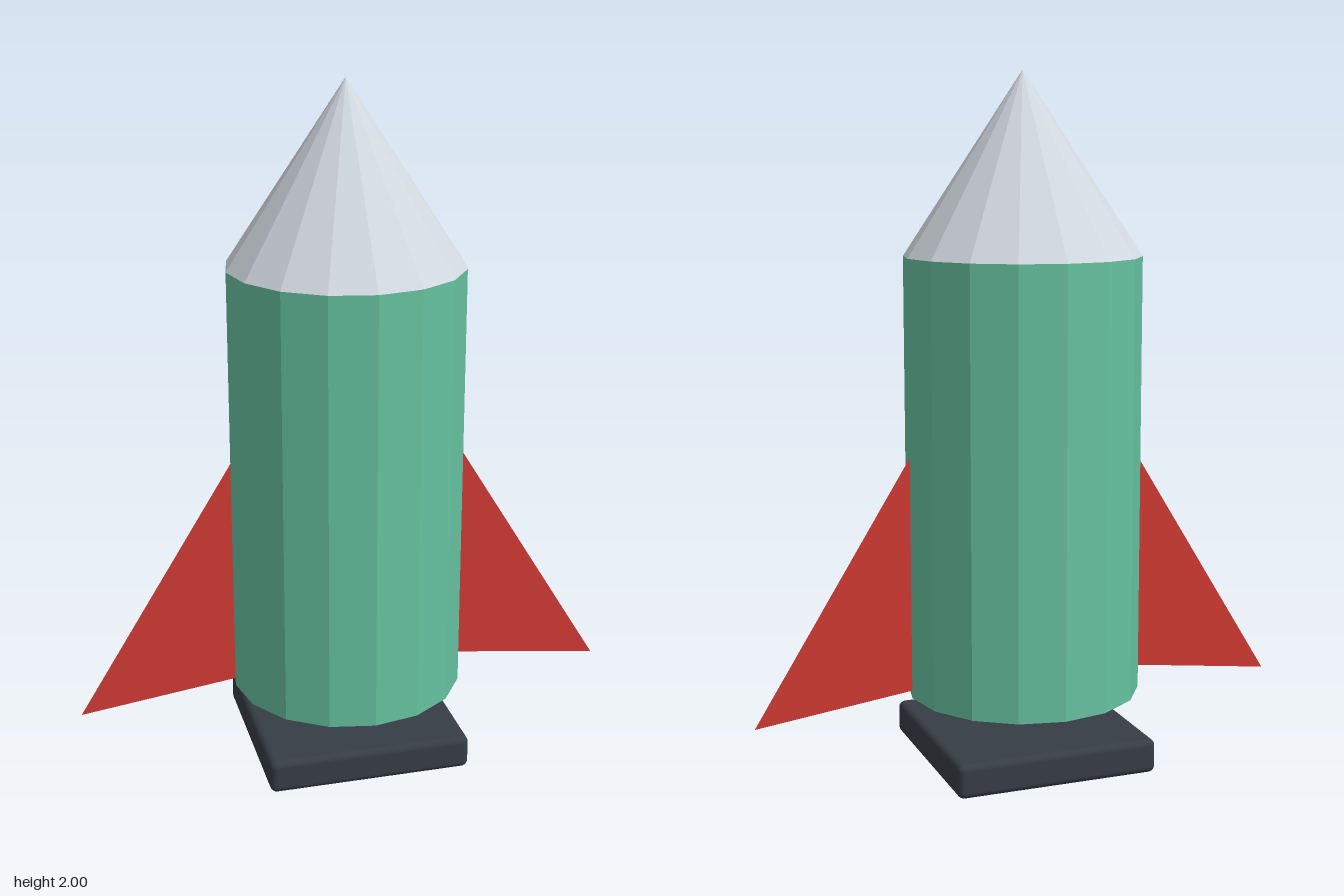
import * as THREE from 'three';
import { RoundedBoxGeometry } from 'three/addons/geometries/RoundedBoxGeometry.js';

const SIDES = 16;
const RADIUS = 0.342;
const BODY_BOTTOM = 0.207;
const BODY_TOP = 1.48;
const TIP = 2;

function material(name, color, options = {}) {
  const m = new THREE.MeshStandardMaterial({ color, ...options });
  m.name = name;
  return m;
}

export function createModel() {
  const green = material('bodyGreen', 0x66c2a0, { flatShading: true });
  const silver = material('noseSilver', 0xd3dae1, { flatShading: true });
  const red = material('finRed', 0xd03a33, { side: THREE.DoubleSide });
  const dark = material('baseCharcoal', 0x363d45);

  const rocket = new THREE.Group();
  rocket.name = 'rocket';
  const add = (name, geometry, mat, y = 0) => {
    const mesh = new THREE.Mesh(geometry, mat);
    mesh.name = name;
    mesh.position.y = y;
    rocket.add(mesh);
  };

  // Faceted hull, closed at the bottom
  add('body', new THREE.CylinderGeometry(RADIUS, RADIUS, BODY_TOP - BODY_BOTTOM, SIDES),
    green, (BODY_TOP + BODY_BOTTOM) / 2);

  // Pointed nose cone meeting the hull facet for facet
  add('noseCone', new THREE.ConeGeometry(RADIUS, TIP - BODY_TOP, SIDES, 1, true),
    silver, (TIP + BODY_TOP) / 2);

  // Paper-thin swept fins, mirrored left and right
  for (const [name, side] of [['leftFin', 1], ['rightFin', -1]]) {
    const outline = new THREE.Shape([
      new THREE.Vector2(side * 0.34, 0.92),
      new THREE.Vector2(side * 0.805, 0.17),
      new THREE.Vector2(side * 0.34, 0.23),
    ]);
    add(name, new THREE.ShapeGeometry(outline), red);
  }

  // Rounded pad floating below the hull
  add('basePad', new RoundedBoxGeometry(0.6, 0.1, 0.6, 3, 0.02), dark, 0.05);

  return rocket;
}
